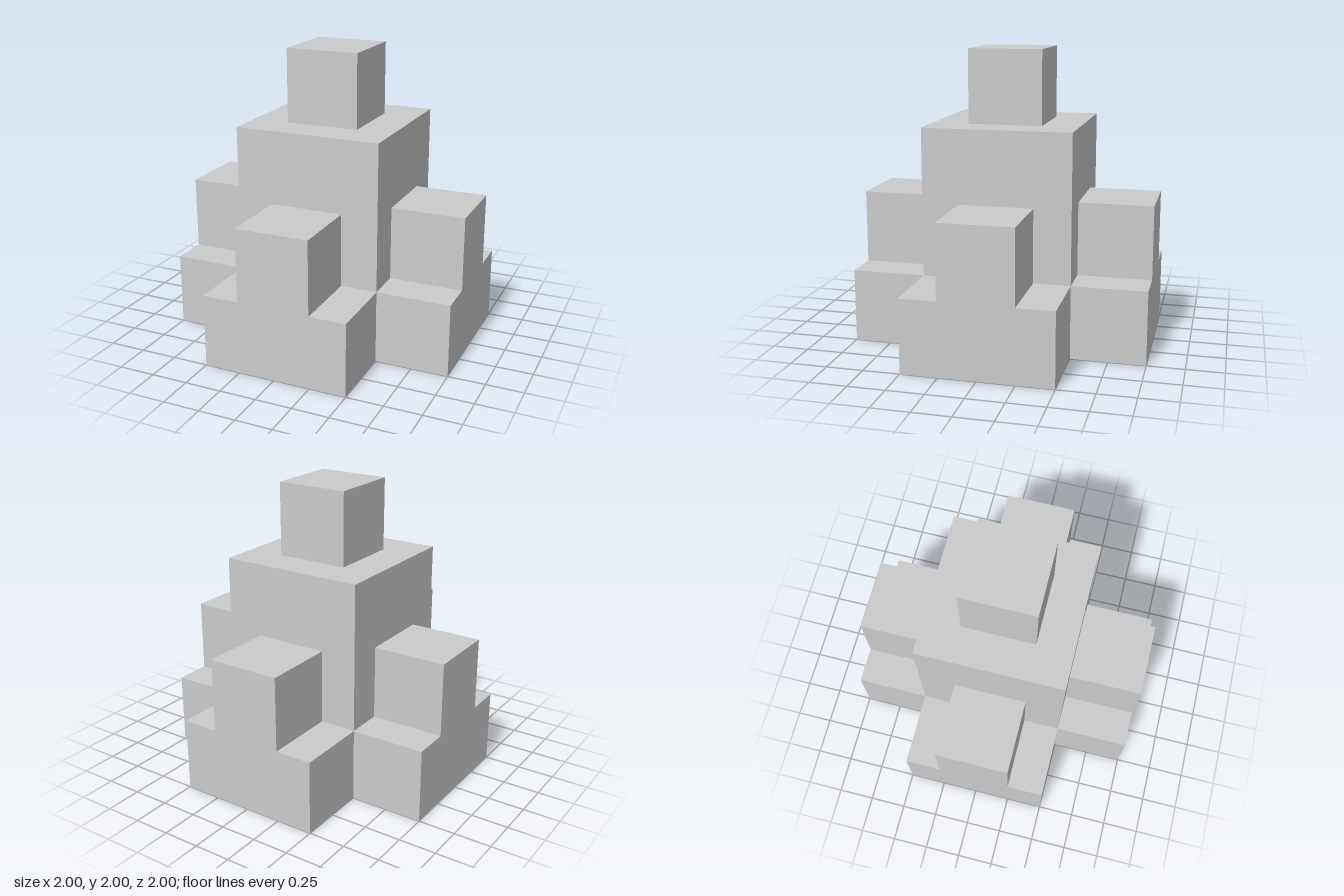
import * as THREE from 'three';

const material = new THREE.MeshStandardMaterial({ color: 0xcccccc, flatShading: true });

function addBlock(parent, name, width, height, depth, baseY) {
  const mesh = new THREE.Mesh(new THREE.BoxGeometry(width, height, depth), material);
  mesh.name = name;
  mesh.position.y = baseY + height / 2;
  parent.add(mesh);
}

export function createModel() {
  const model = new THREE.Group();
  model.name = 'steppedBlockTower';

  // Central tower and the cube on top
  addBlock(model, 'centralTower', 1, 1.5, 1, 0);
  addBlock(model, 'topCube', 0.5, 0.5, 0.5, 1.5);

  // Stepped buttress: wide base with a narrower raised middle
  const profile = new THREE.Shape([
    [-0.5, 0], [0.5, 0], [0.5, 0.5], [0.25, 0.5],
    [0.25, 1], [-0.25, 1], [-0.25, 0.5], [-0.5, 0.5],
  ].map(([x, y]) => new THREE.Vector2(x, y)));
  const buttress = new THREE.ExtrudeGeometry(profile, { depth: 0.5, bevelEnabled: false });
  buttress.translate(0, 0, 0.5);

  // One buttress against each face of the tower
  ['front', 'left', 'back', 'right'].forEach((side, i) => {
    const mesh = new THREE.Mesh(buttress, material);
    mesh.name = `${side}Buttress`;
    mesh.rotation.y = i * Math.PI / 2;
    model.add(mesh);
  });

  return model;
}
